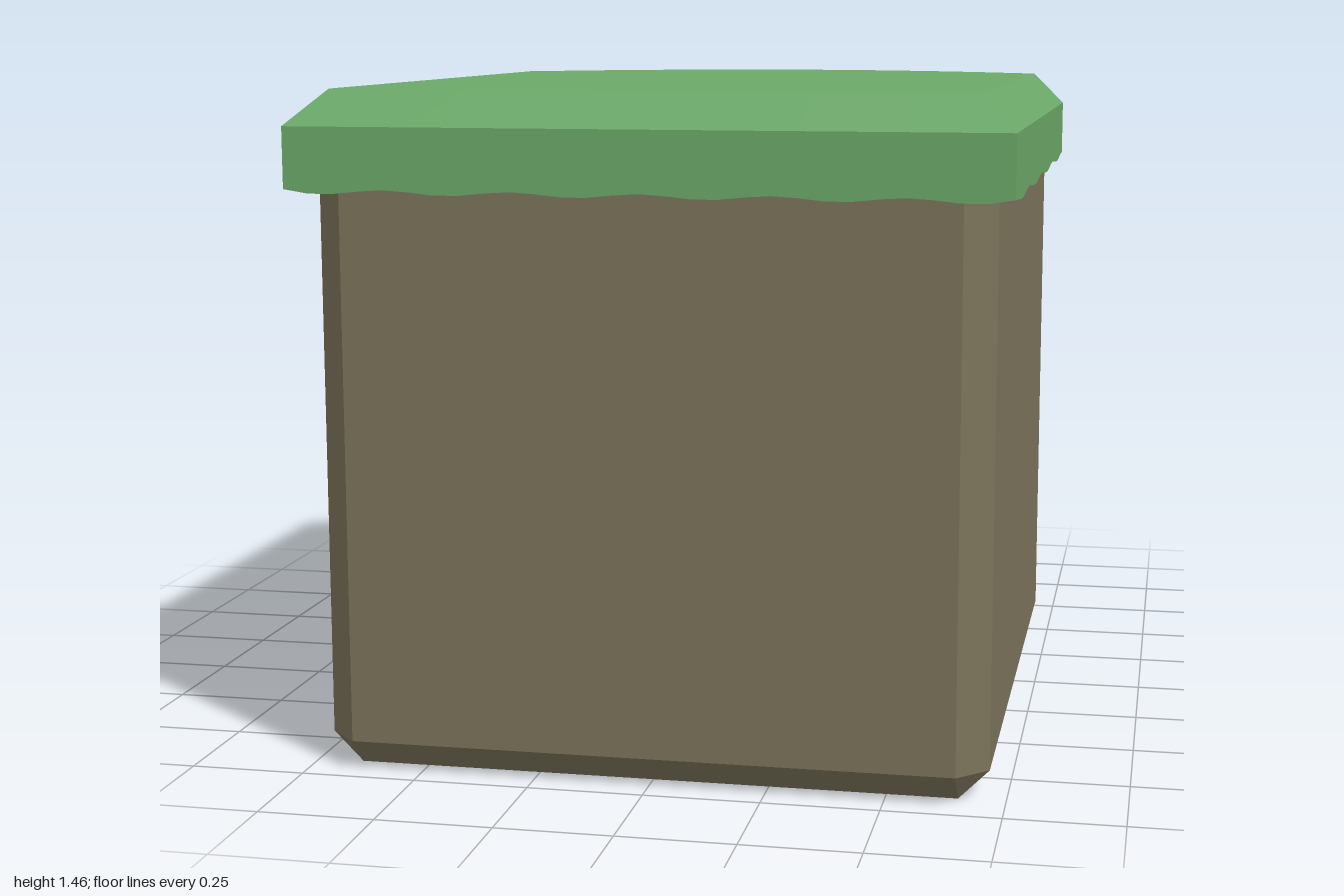
import * as THREE from 'three';
import { toCreasedNormals } from 'three/addons/utils/BufferGeometryUtils.js';

// Half outlines [x, z] from front centre to back, on the +x side
const BODY_BASE = [[0, 0.895], [0.65, 0.895], [0.65, 0.895], [0.65, -0.6], [0.65, -0.6],
  [0.5, -0.71], [0.36, -0.785], [0.24, -0.83], [0.12, -0.86]];
const BODY_WALL = [[0, 0.96], [0.65, 0.96], [0.715, 0.895], [0.715, -0.55], [0.67, -0.665],
  [0.525, -0.77], [0.385, -0.845], [0.25, -0.9], [0.13, -0.925]];
const LID_TOP = [[0, 0.92], [0.68, 0.92], [0.68, -0.61], [0.52, -0.745], [0.375, -0.835],
  [0.24, -0.89], [0.12, -0.925]];
const LID_EDGE = [[0, 1], [0.755, 1], [0.755, -0.625], [0.57, -0.785], [0.405, -0.895],
  [0.27, -0.955], [0.13, -1]];

// Subdivides each edge of a half outline
const refine = (half, counts) => half.flatMap((p, i) => {
  const q = half[i + 1];
  if (!q) return [p];
  return Array.from({ length: counts[i] }, (_, k) => {
    const t = k / counts[i];
    return [p[0] + (q[0] - p[0]) * t, p[1] + (q[1] - p[1]) * t];
  });
});

// Mirrors a half outline into a closed ring at height y (number or function of x, z)
function ring(half, y) {
  const all = [...half, ...half.slice(1).reverse().map(([x, z]) => [-x, z])];
  return all.map(([x, z]) => new THREE.Vector3(x, typeof y === 'function' ? y(x, z) : y, z));
}

// Skins a stack of rings and caps both ends
function loft(rings) {
  const out = [];
  const tri = (a, b, c) => {
    if (a.equals(b) || b.equals(c) || a.equals(c)) return;
    for (const v of [a, b, c]) out.push(v.x, v.y, v.z);
  };
  const n = rings[0].length;
  const low = rings[0], high = rings[rings.length - 1];
  const cLow = new THREE.Vector3(0, low[0].y, 0), cHigh = new THREE.Vector3(0, high[0].y, 0);
  for (let i = 0; i < n; i++) {
    const j = (i + 1) % n;
    for (let r = 0; r < rings.length - 1; r++) {
      tri(rings[r][i], rings[r][j], rings[r + 1][j]);
      tri(rings[r][i], rings[r + 1][j], rings[r + 1][i]);
    }
    tri(cLow, low[j], low[i]);
    tri(cHigh, high[i], high[j]);
  }
  const geo = new THREE.BufferGeometry();
  geo.setAttribute('position', new THREE.Float32BufferAttribute(out, 3));
  return toCreasedNormals(geo, 0.3);
}

// Gently wavy lower edge of the lid
function hem(x, z) {
  const side = Math.abs(x) > 0.75;
  const phase = side ? (z - 0.21) / 0.41 : x / 0.27;
  return (z < -0.63 ? 1.247 : 1.251) + 0.005 * Math.cos(2 * Math.PI * phase);
}

export function createModel() {
  const group = new THREE.Group();
  const add = (name, geo, color) => {
    const mesh = new THREE.Mesh(geo, new THREE.MeshStandardMaterial({ color }));
    mesh.name = name;
    group.add(mesh);
  };

  // Block with chamfered foot and rounded back
  add('body', loft([ring(BODY_BASE, 0), ring(BODY_WALL, 0.065), ring(BODY_WALL, 1.3)]), 0x7b735a);

  // Overhanging lid with bevelled top
  const counts = [14, 32, 3, 3, 2, 2];
  const top = refine(LID_TOP, counts), edge = refine(LID_EDGE, counts);
  add('lid', loft([ring(top, 1.26), ring(edge, hem), ring(edge, 1.385), ring(top, 1.46)]), 0x6ba868);

  return group;
}
